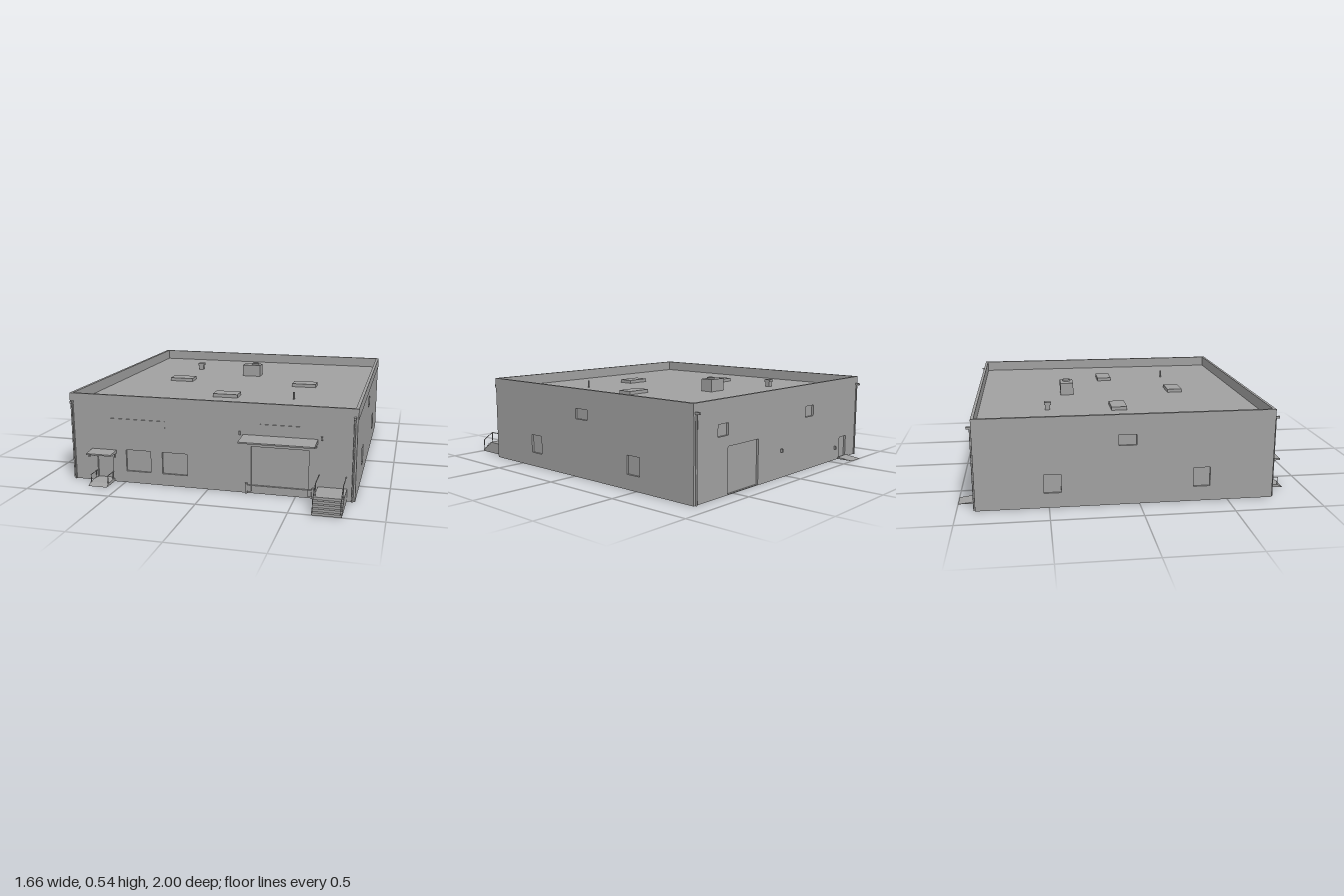
import * as THREE from 'three';

const grey = new THREE.MeshStandardMaterial({ color: 0xa0a0a0, side: THREE.DoubleSide });
grey.name = 'concrete grey';

const HALF = 0.825, FRONT = 0.76, BACK = -0.9, TOP = 0.515, ROOF = 0.452;
const MID = (FRONT + BACK) / 2, HALFZ = (FRONT - BACK) / 2;

export function createModel() {
  const model = new THREE.Group();
  model.name = 'warehouse';

  function add(name, geometry, x = 0, y = 0, z = 0, parent = model) {
    const mesh = new THREE.Mesh(geometry, grey);
    mesh.name = name;
    mesh.position.set(x, y, z);
    parent.add(mesh);
    return mesh;
  }

  // Box given by its lower and upper limits
  function block(name, x0, x1, y0, y1, z0, z1, parent = model) {
    return add(name, new THREE.BoxGeometry(x1 - x0, y1 - y0, z1 - z0),
      (x0 + x1) / 2, (y0 + y1) / 2, (z0 + z1) / 2, parent);
  }

  // Thin bar between two points
  function bar(name, a, b, r = 0.0025) {
    const p = new THREE.Vector3(...a), q = new THREE.Vector3(...b);
    const mesh = add(name, new THREE.CylinderGeometry(r, r, p.distanceTo(q), 6));
    mesh.position.copy(p).add(q).multiplyScalar(0.5);
    mesh.quaternion.setFromUnitVectors(new THREE.Vector3(0, 1, 0), q.sub(p).normalize());
  }

  // Profile in the (z, y) plane, swept from x0 to x1
  function sweep(name, points, x0, x1) {
    const shape = new THREE.Shape(points.map(([z, y]) => new THREE.Vector2(-z, y)));
    const geometry = new THREE.ExtrudeGeometry(shape, { depth: x1 - x0, bevelEnabled: false });
    geometry.rotateY(Math.PI / 2);
    return add(name, geometry, x0, 0, 0);
  }

  function rectangle(Type, x0, x1, y0, y1) {
    return new Type([[x0, y0], [x1, y0], [x1, y1], [x0, y1]].map(p => new THREE.Vector2(...p)));
  }

  // Wall facing local +z, with shallow recesses [name, x0, x1, y0, y1]
  function wall(name, half, openings, x, z, turn) {
    const group = new THREE.Group();
    group.name = name;
    group.position.set(x, 0, z);
    group.rotation.y = turn;
    model.add(group);
    const shape = rectangle(THREE.Shape, -half, half, 0, TOP);
    const depth = 0.012;
    for (const [label, x0, x1, y0, y1] of openings) {
      shape.holes.push(rectangle(THREE.Path, x0, x1, y0, y1));
      const pocket = block(label, x0, x1, y0, y1, -depth, 0, group);
      const index = Array.from(pocket.geometry.index.array);
      index.splice(24, 6); // open the outer side
      pocket.geometry.setIndex(index);
      pocket.geometry.clearGroups();
    }
    add(name + 'Surface', new THREE.ShapeGeometry(shape), 0, 0, 0, group);
  }

  // Four walls, open underneath
  wall('frontWall', HALF, [
    ['frontWindow', -0.49, -0.34, 0.07, 0.197],
    ['frontWindow', -0.27, -0.12, 0.07, 0.197],
    ['entranceDoor', -0.67, -0.575, 0.02, 0.155],
    ['loadingDoor', 0.25, 0.57, 0.045, 0.27],
  ], 0, FRONT, 0);
  wall('backWall', HALF, [
    ['backWindow', -0.635, -0.55, 0.32, 0.385],
    ['backWindow', 0.2, 0.285, 0.32, 0.385],
    ['backGate', -0.55, -0.28, 0.004, 0.26],
    ['backDoor', 0.615, 0.695, 0.004, 0.14],
  ], 0, BACK, Math.PI);
  for (const side of [1, -1]) {
    const at = (z, w, y0, y1) => {
      const u = side * (MID - z);
      return ['sideWindow', u - w / 2, u + w / 2, y0, y1];
    };
    wall(side > 0 ? 'leftWall' : 'rightWall', HALFZ,
      [at(0.35, 0.095, 0.085, 0.195), at(-0.067, 0.1, 0.34, 0.4), at(-0.48, 0.095, 0.085, 0.19)],
      side * HALF, MID, side * Math.PI / 2);
  }

  // Roof deck and parapet rim
  add('roofDeck', new THREE.PlaneGeometry(2 * HALF, 2 * HALFZ).rotateX(-Math.PI / 2), 0, ROOF, MID);
  for (const s of [-1, 1]) {
    block('parapet', s * 0.819 - 0.009, s * 0.819 + 0.009, ROOF, TOP, BACK, FRONT);
    const z = s > 0 ? FRONT - 0.008 : BACK + 0.008;
    block('parapet', -HALF, HALF, ROOF, TOP, z - 0.008, z + 0.008);
  }

  // Roof equipment
  for (const [x, z] of [[-0.415, -0.07], [0.41, -0.07], [0, 0.343]])
    block('skylight', x - 0.076, x + 0.076, ROOF, ROOF + 0.02, z - 0.046, z + 0.046);
  block('airUnit', -0.062, 0.058, ROOF, 0.527, -0.39, -0.31);
  add('airUnitFan', new THREE.CylinderGeometry(0.024, 0.024, 0.01, 20), 0.018, 0.532, -0.35);
  block('ventBase', -0.429, -0.401, ROOF, ROOF + 0.03, -0.499, -0.471);
  block('ventCap', -0.435, -0.395, ROOF + 0.03, ROOF + 0.045, -0.505, -0.465);
  add('ventPipe', new THREE.CylinderGeometry(0.005, 0.005, 0.045, 8), 0.41, ROOF + 0.022, 0.34);

  // Downspouts at the four corners
  for (const x of [-0.81, 0.81])
    for (const [z, out] of [[FRONT, 1], [BACK, -1]]) {
      add('downspout', new THREE.CylinderGeometry(0.005, 0.005, 0.46, 8), x, 0.23, z + out * 0.005);
      add('downspoutHead', new THREE.BoxGeometry(0.013, 0.012, 0.026), x, 0.465, z + out * 0.013);
    }

  // Canopies with brackets
  sweep('loadingCanopy', [[FRONT, 0.31], [0.88, 0.318], [0.88, 0.326], [FRONT, 0.336]], 0.203, 0.617);
  sweep('entranceCanopy', [[FRONT, 0.17], [0.845, 0.176], [0.845, 0.184], [FRONT, 0.191]], -0.7, -0.55);
  for (const [x, y] of [[0.212, 0.31], [0.608, 0.31], [-0.69, 0.17], [-0.56, 0.17]])
    block('canopyBracket', x - 0.003, x + 0.003, y - 0.022, y, FRONT, FRONT + 0.008);

  // Wall lamps
  for (const [x, y, z] of [[0.185, 0.343, 0.765], [0.638, 0.343, 0.765], [-0.72, 0.151, 0.765],
    [0.055, 0.16, -0.906], [-0.555, 0.08, -0.906]])
    add('wallLamp', new THREE.BoxGeometry(0.01, 0.02, 0.012), x, y, z);

  // Plain panels on the front
  block('frontPanel', -0.6, -0.25, 0.34, 0.38, FRONT, FRONT + 0.005);
  block('frontPanel', 0.3, 0.53, 0.37, 0.4, FRONT, FRONT + 0.005);

  // Loading door guards
  for (const [x, dir] of [[0.224, 1], [0.596, -1]]) {
    add('guardPost', new THREE.BoxGeometry(0.012, 0.06, 0.012), x, 0.03, FRONT + 0.007);
    add('dockBumper', new THREE.BoxGeometry(0.022, 0.036, 0.012), x + dir * 0.018, 0.032, FRONT + 0.007);
  }

  // Entrance ramp with rails, and the back ramp
  sweep('entranceRamp', [[FRONT, 0], [0.875, 0], [0.845, 0.016], [FRONT, 0.02]], -0.68, -0.568);
  for (const x of [-0.675, -0.572]) {
    for (const z of [0.775, 0.845]) bar('entranceRailPost', [x, 0, z], [x, 0.06, z]);
    bar('entranceRail', [x, 0.06, FRONT], [x, 0.06, 0.845]);
  }
  sweep('backRamp', [[BACK, 0], [-1, 0], [BACK, 0.012]], -0.71, -0.602);

  // Side staircase with rails
  const profile = [[FRONT, 0], [1, 0]];
  for (let i = 0; i < 5; i++)
    profile.push([1 - i * 0.02, (i + 1) * 0.014], [1 - (i + 1) * 0.02, (i + 1) * 0.014]);
  profile.push([FRONT, 0.07]);
  sweep('staircase', profile, 0.622, 0.78);
  for (const x of [0.628, 0.774]) {
    bar('stairRail', [x, 0.137, FRONT], [x, 0.137, 0.9]);
    bar('stairRail', [x, 0.137, 0.9], [x, 0.075, 0.998]);
    bar('stairRailPost', [x, 0, 0.998], [x, 0.075, 0.998]);
    bar('stairRailPost', [x, 0.06, 0.9], [x, 0.137, 0.9]);
  }

  return model;
}
